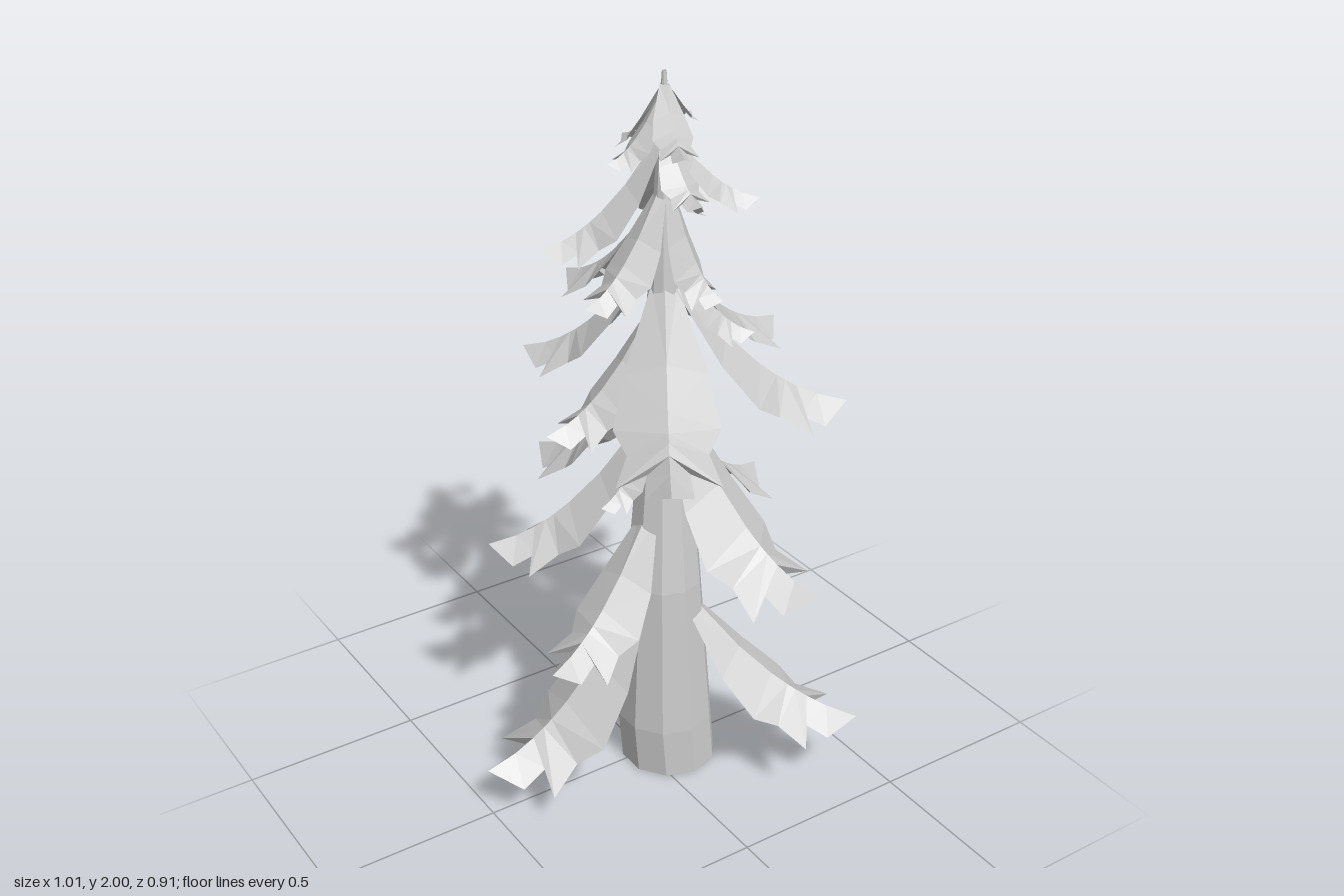
import * as THREE from 'three';

const material = new THREE.MeshStandardMaterial({ color: 0xcccccc, flatShading: true, side: THREE.DoubleSide });

// Trunk sections: height, centre x, centre z, radius
const TRUNK = [
  [0, 0.068, 0.02, 0.135], [0.15, 0.055, 0.02, 0.135], [0.6, 0.045, 0.025, 0.105], [1, 0.06, 0.0, 0.07],
  [1.5, 0.065, -0.01, 0.04], [1.85, 0.065, -0.015, 0.016], [2, 0.065, -0.015, 0.006],
];

// Bough tips from bottom to top: x, y, z, width factor, rise of the root per unit of reach
const TIPS = [
  [-0.51, 0.15, 0.0, 1.2, 0.68], [0.40, 0.24, 0.45, 1.2, 0.45], [0.23, 0.36, -0.455, 1.1, 0.56],
  [-0.38, 0.5, 0.14, 1.1, 0.6], [0.28, 0.56, -0.12, 0.9, 0.6],
  [0.25, 0.68, 0.45, 1.2, 0.8], [0.5, 0.72, -0.18, 1.15, 0.66], [-0.36, 0.71, -0.22, 1.1, 0.66],
  [-0.08, 0.85, -0.42, 1.15, 0.75], [-0.15, 0.87, 0.02, 1, 0.7],
  [0.5, 1.09, 0.215, 1.1, 0.66], [-0.16, 1.07, 0.36, 1.2, 0.8], [-0.28, 1.1, -0.03, 1.1, 0.7],
  [0.49, 1.22, -0.1, 1.1, 0.56], [-0.17, 1.21, -0.33, 1.1, 0.7], [0.25, 1.32, 0.13, 1.1, 0.7],
  [-0.02, 1.39, -0.35, 1.15, 0.72], [0.15, 1.43, 0.13, 1.2, 1.4], [-0.2, 1.46, 0.04, 1.15, 0.7],
  [-0.23, 1.57, -0.12, 1.1, 0.7], [0.28, 1.56, -0.26, 1.1, 0.5],
  [0.26, 1.68, 0.12, 1.1, 0.55], [0.07, 1.7, 0.14, 1.3, 0.7],
  [-0.09, 1.79, -0.03, 1.2, 0.7], [0.05, 1.8, -0.18, 1.2, 0.7], [0.02, 1.83, 0.14, 1.2, 0.7], [0.19, 1.86, -0.08, 1.2, 0.6],
];

// Half outline of a bough: place on ridge, place of edge, half width, drop of edge (last two relative to length)
const OUTLINE = [
  [0, 0, 0.05, 0.03], [0.28, 0.3, 0.16, 0.08], [0.48, 0.52, 0.205, 0.11], [0.58, 0.64, 0.155, 0.11],
  [0.63, 0.81, 0.2, 0.115], [0.7, 0.75, 0.08, 0.09], [0.82, 0.89, 0.09, 0.1], [1, 1, 0, 0],
];

function trunkAt(y) {
  let i = 1;
  while (i < TRUNK.length - 1 && TRUNK[i][0] < y) i++;
  const a = TRUNK[i - 1], b = TRUNK[i];
  const t = Math.min(1, (y - a[0]) / (b[0] - a[0]));
  return a.map((v, k) => v + (b[k] - v) * t);
}

// Ten-sided hollow trunk with a slight bend, ending in a thin leader
function makeTrunk() {
  const last = TRUNK.length - 1;
  const geo = new THREE.CylinderGeometry(1, 1, 1, 10, last, true);
  const pos = geo.attributes.position;
  for (let i = 0; i < pos.count; i++) {
    const [y, cx, cz, r] = TRUNK[Math.round((pos.getY(i) + 0.5) * last)];
    pos.setXYZ(i, cx + pos.getX(i) * r, y, cz + pos.getZ(i) * r);
  }
  geo.computeVertexNormals();
  const mesh = new THREE.Mesh(geo, material);
  mesh.name = 'trunk';
  return mesh;
}

// Drooping bough: a folded sheet with a raised ridge and lobed edges
function makeBough([x, y, z, width, rise]) {
  const tip = new THREE.Vector3(x, y, z);
  const c = trunkAt(y + 0.15);
  const out = new THREE.Vector3(x - c[1], 0, z - c[2]);
  const length = out.length();
  out.normalize();
  const side = new THREE.Vector3(-out.z, 0, out.x);

  const rootY = Math.min(1.97, y + 0.05 + rise * length);
  const t = trunkAt(rootY);
  const root = new THREE.Vector3(t[1], rootY, t[2]).addScaledVector(out, t[3] * 0.8);
  const bend = root.clone().lerp(tip, 0.5);
  bend.y = y + (rootY - y) * 0.1;
  const path = new THREE.QuadraticBezierCurve3(root, bend, tip);

  const span = root.distanceTo(tip);
  const edge = ([, u, w, drop], s) => {
    const down = new THREE.Vector3().crossVectors(path.getTangent(u), side).normalize();
    if (down.y > 0) down.negate();
    return path.getPoint(u).addScaledVector(side, s * w * span * width).addScaledVector(down, drop * span);
  };

  const verts = [];
  const add = (...pts) => pts.forEach((p) => verts.push(p.x, p.y, p.z));
  for (const s of [-1, 1]) {
    for (let i = 1; i < OUTLINE.length; i++) {
      const r0 = path.getPoint(OUTLINE[i - 1][0]), r1 = path.getPoint(OUTLINE[i][0]);
      const e0 = edge(OUTLINE[i - 1], s), e1 = edge(OUTLINE[i], s);
      if (s > 0) add(r0, e0, r1, r1, e0, e1);
      else add(r0, r1, e0, r1, e1, e0);
    }
  }
  const geo = new THREE.BufferGeometry();
  geo.setAttribute('position', new THREE.Float32BufferAttribute(verts, 3));
  geo.computeVertexNormals();
  const mesh = new THREE.Mesh(geo, material);
  mesh.name = 'bough';
  return mesh;
}

export function createModel() {
  const tree = new THREE.Group();
  tree.name = 'coniferTree';
  const boughs = new THREE.Group();
  boughs.name = 'boughs';
  for (const tip of TIPS) boughs.add(makeBough(tip));
  tree.add(makeTrunk(), boughs);
  return tree;
}
